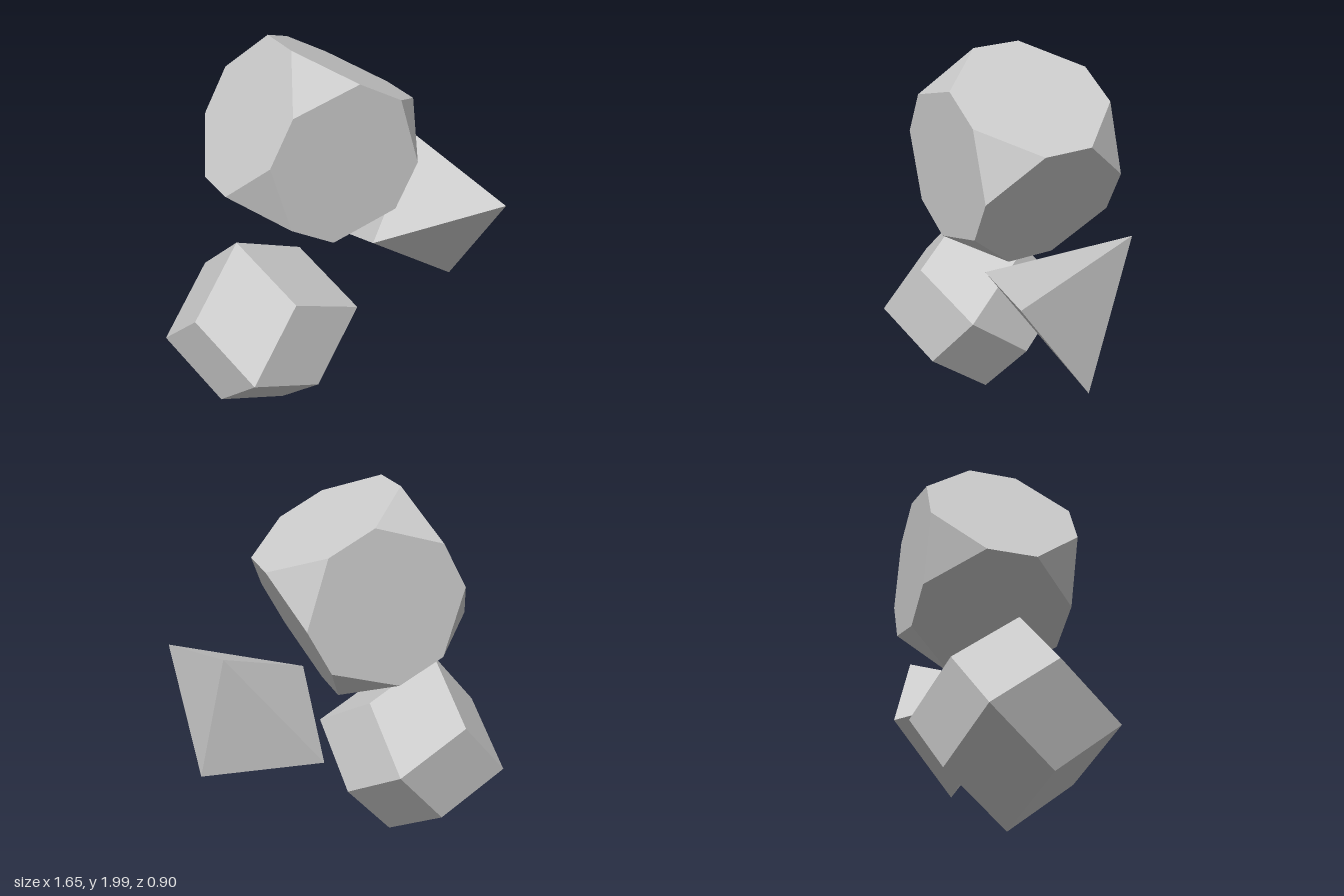
import * as THREE from 'three';
import { ConvexGeometry } from 'three/addons/geometries/ConvexGeometry.js';

const material = new THREE.MeshStandardMaterial({ color: 0xcccccc, flatShading: true });
const V = (x, y, z) => new THREE.Vector3(x, y, z);
const signs = [-1, 1];

// Flat-faced solid, placed at a centre with its local x and y axes given
function solid(name, points, centre, xDir, yDir) {
  const mesh = new THREE.Mesh(new ConvexGeometry(points), material);
  const y = yDir.normalize();
  const x = xDir.addScaledVector(y, -xDir.dot(y)).normalize();
  mesh.quaternion.setFromRotationMatrix(
    new THREE.Matrix4().makeBasis(x, y, x.clone().cross(y)));
  mesh.position.copy(centre);
  mesh.name = name;
  return mesh;
}

// Cube of half side h with its corners cut at a third of each edge
function truncatedCubePoints(h) {
  const points = [];
  for (const a of signs) for (const b of signs) for (const c of signs) {
    points.push(
      V(a * h / 3, b * h, c * h),
      V(a * h, b * h / 3, c * h),
      V(a * h, b * h, c * h / 3));
  }
  return points;
}

// Six four-way tips at distance r plus eight three-way corners
function rhombicDodecahedronPoints(r) {
  const points = [];
  for (const a of signs) {
    points.push(V(a * r, 0, 0), V(0, a * r, 0), V(0, 0, a * r));
    for (const b of signs) for (const c of signs) {
      points.push(V(a, b, c).multiplyScalar(r / 2));
    }
  }
  return points;
}

// Triangular equator of radius r with a tip above and below
function bipyramidPoints(r, halfHeight) {
  const points = [V(0, halfHeight, 0), V(0, -halfHeight, 0)];
  for (let i = 0; i < 3; i++) {
    const t = i * Math.PI * 2 / 3;
    points.push(V(r * Math.cos(t), 0, r * Math.sin(t)));
  }
  return points;
}

export function createModel() {
  const group = new THREE.Group();
  group.name = 'polyhedra';

  // Upper solid, turned clockwise and leaning very slightly forward
  group.add(solid('truncatedCube', truncatedCubePoints(0.387),
    V(-0.066, 1.475, -0.056), V(0.685, -0.36, -0.004), V(0.36, 0.685, 0.009)));

  // Lower solid
  group.add(solid('rhombicDodecahedron', rhombicDodecahedronPoints(0.516),
    V(-0.391, 0.507, 0.002), V(0.437, 0.108, 0.25), V(-0.119, 0.503, -0.003)));

  // Side solid
  group.add(solid('triangularBipyramid', bipyramidPoints(0.462, 0.55),
    V(0.54, 0.906, -0.007), V(0.16, 0.353, -0.255), V(0.57, 0.375, 0.865)));

  return group;
}
